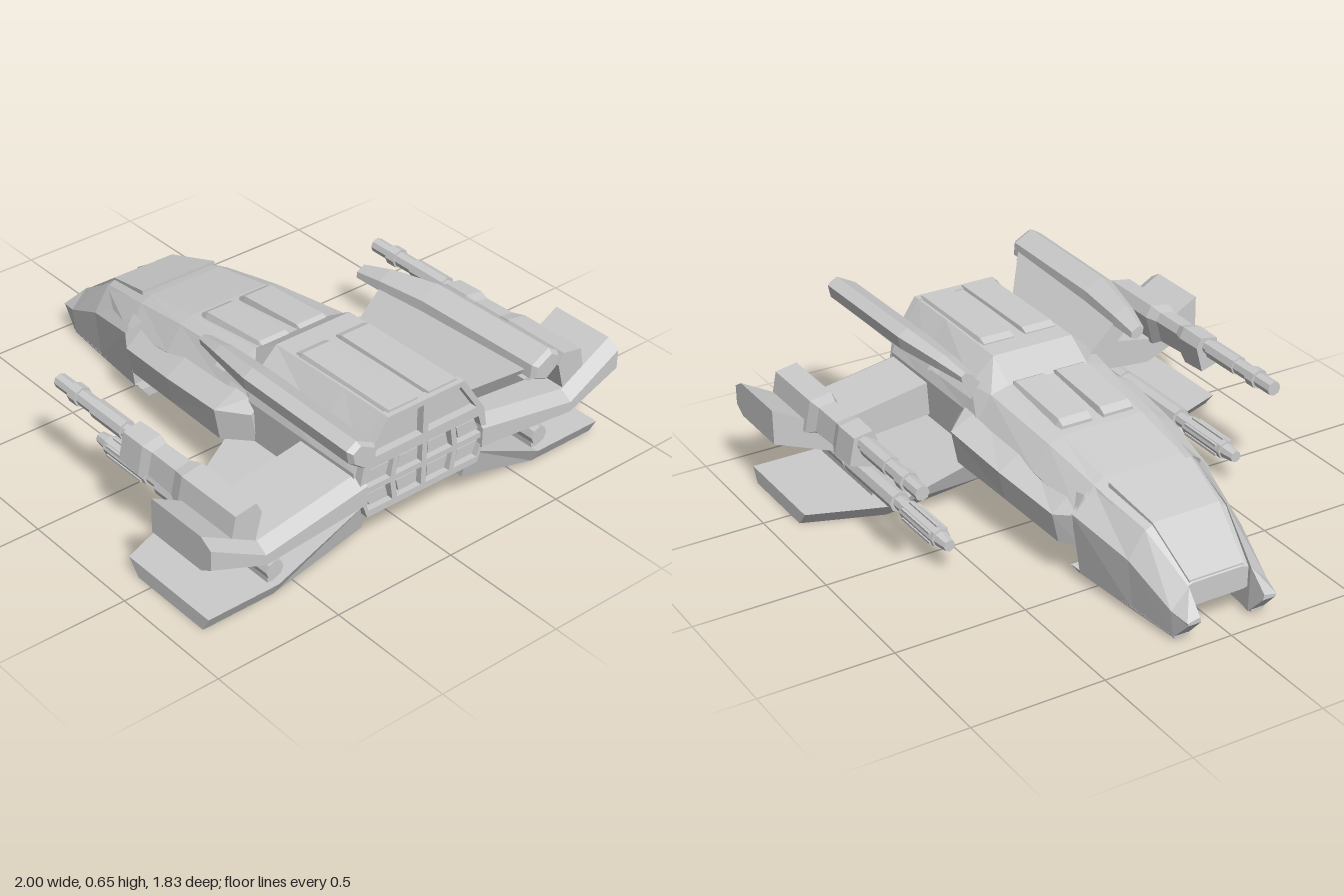
import * as THREE from 'three';

const material = new THREE.MeshStandardMaterial({ color: 0xcccccc, flatShading: true, side: THREE.DoubleSide });

// Skin between rings of [x, y, z] points with fan caps; winding is turned outward by signed volume.
function loft(rings) {
  const tris = [], n = rings[0].length;
  for (let i = 0; i < rings.length - 1; i++) {
    for (let j = 0; j < n; j++) {
      const a = rings[i][j], b = rings[i][(j + 1) % n], c = rings[i + 1][(j + 1) % n], d = rings[i + 1][j];
      tris.push([a, b, c], [a, c, d]);
    }
  }
  const last = rings[rings.length - 1];
  for (let j = 1; j < n - 1; j++) {
    tris.push([rings[0][0], rings[0][j + 1], rings[0][j]], [last[0], last[j], last[j + 1]]);
  }
  let volume = 0;
  for (const [a, b, c] of tris) {
    volume += a[0] * (b[1] * c[2] - b[2] * c[1]) - a[1] * (b[0] * c[2] - b[2] * c[0]) + a[2] * (b[0] * c[1] - b[1] * c[0]);
  }
  const ordered = volume < 0 ? tris.map(([a, b, c]) => [a, c, b]) : tris;
  const geo = new THREE.BufferGeometry();
  geo.setAttribute('position', new THREE.Float32BufferAttribute(ordered.flat(2), 3));
  geo.computeVertexNormals();
  return geo;
}

// Ring of [z, y] points at a given x, on side s
const ringX = (x, pts, s = 1) => pts.map(([z, y]) => [x, y, z * s]);
// Ring of [x, y] points at a given z
const ringZ = (z, pts) => pts.map(([x, y]) => [x, y, z]);

function add(group, name, geo) {
  const mesh = new THREE.Mesh(geo, material);
  mesh.name = name;
  group.add(mesh);
  return mesh;
}

// Round section lying along x
function barrel(group, name, x0, x1, r0, r1, y, z, sides = 8) {
  const geo = new THREE.CylinderGeometry(r1, r0, x1 - x0, sides);
  geo.rotateZ(-Math.PI / 2).translate((x0 + x1) / 2, y, z);
  add(group, name, geo);
}

function buildHull(g) {
  // Each station: x, then half-section [z, y] from the top edge to the belly
  const stations = [
    [-0.91, [0.10, 0.19], [0.13, 0.18], [0.14, 0.14], [0.14, 0.11], [0.11, 0.10]],
    [-0.72, [0.13, 0.33], [0.17, 0.31], [0.21, 0.21], [0.20, 0.13], [0.12, 0.10]],
    [-0.46, [0.16, 0.395], [0.20, 0.375], [0.27, 0.29], [0.26, 0.16], [0.14, 0.12]],
    [-0.20, [0.165, 0.44], [0.22, 0.42], [0.285, 0.33], [0.28, 0.20], [0.20, 0.18]],
    [0.16, [0.165, 0.48], [0.24, 0.46], [0.30, 0.36], [0.28, 0.21], [0.21, 0.19]],
    [0.27, [0.165, 0.55], [0.26, 0.46], [0.29, 0.37], [0.28, 0.20], [0.21, 0.08]],
    [0.62, [0.165, 0.555], [0.265, 0.43], [0.29, 0.37], [0.28, 0.20], [0.21, 0.07]],
    [0.82, [0.165, 0.555], [0.265, 0.42], [0.29, 0.37], [0.28, 0.21], [0.25, 0.19]],
  ];
  add(g, 'hull', loft(stations.map(([x, ...half]) =>
    ringX(x, [...half, ...half.slice().reverse().map(([z, y]) => [-z, y])]))));

  // Canopy panel follows the nose curve
  const canopy = [[-0.905, 0.11, 0.20], [-0.72, 0.135, 0.337], [-0.5, 0.168, 0.397]];
  add(g, 'canopyPanel', loft(canopy.map(([x, w, y]) => ringX(x, [[-w, y], [w, y], [w, y - 0.04], [-w, y - 0.04]]))));

  for (const s of [1, -1]) {
    // Raised dorsal plates with bevelled sides
    const plate = (x, y, w) => ringX(x, [[0.015, y - 0.05], [0.025, y], [w - 0.02, y], [w, y - 0.05]], s);
    add(g, 'forwardDorsalPlate', loft([plate(-0.17, 0.455, 0.165), plate(-0.14, 0.472, 0.165), plate(0.15, 0.494, 0.165), plate(0.17, 0.485, 0.165)]));
    add(g, 'rearDorsalPlate', loft([plate(0.36, 0.556, 0.17), plate(0.39, 0.568, 0.17), plate(0.83, 0.568, 0.17)]));
  }
}

function buildTail(g) {
  // Rear frame with two rows of four openings and two upper windows
  const w = y => 0.29 - 0.25 * Math.abs(y - 0.3);
  const poly = pts => pts.map(([x, y]) => new THREE.Vector2(x, y));
  const outline = [[0.25, 0.19], [0.29, 0.3], [0.27, 0.41], [0.17, 0.56]];
  const frame = new THREE.Shape(poly([...outline, ...outline.slice().reverse().map(([z, y]) => [-z, y])]));
  const cell = (i, y0, y1, m) => [[i, y0], [i + 1, y0], [i + 1, y1], [i, y1]].map(([k, y], n) =>
    [(k - 2) / 2 * (w(y) - 0.01) + (n === 0 || n === 3 ? m : -m), y === y0 ? y0 + m : y1 - m]);
  const panes = [];
  for (const [y0, y1] of [[0.205, 0.3], [0.3, 0.395]]) {
    for (let i = 0; i < 4; i++) {
      frame.holes.push(new THREE.Path(poly(cell(i, y0, y1, 0.011))));
      panes.push(new THREE.Shape(poly(cell(i, y0, y1, 0.024))));
    }
  }
  for (const s of [1, -1]) {
    frame.holes.push(new THREE.Path(poly([[0.012, 0.425], [0.235, 0.425], [0.155, 0.54], [0.012, 0.54]].map(([z, y]) => [z * s, y]))));
  }
  const extrude = (shape, depth) =>
    new THREE.ExtrudeGeometry(shape, { depth, bevelEnabled: false }).rotateY(Math.PI / 2).translate(0.815, 0, 0);
  add(g, 'tailFrame', extrude(frame, 0.035));
  panes.forEach(p => add(g, 'exhaustPane', extrude(p, 0.025)));
}

function buildThrusters(g, s) {
  for (const [x, y, z, r] of [[0.37, 0.072, 0.115, 0.065], [-0.48, 0.108, 0.085, 0.05]]) {
    add(g, 'thrusterRing', new THREE.TorusGeometry(r, 0.015, 4, 8).rotateX(Math.PI / 2).translate(x, y, z * s));
    add(g, 'thrusterCore', new THREE.CylinderGeometry(r * 0.65, r * 0.4, 0.03, 8).translate(x, y, z * s));
    for (let k = 0; k < 4; k++) {
      add(g, 'thrusterVane', new THREE.BoxGeometry(r * 2, 0.014, 0.008).rotateY(k * Math.PI / 4).translate(x, y - 0.006, z * s));
    }
  }
}

function buildSide(s) {
  const g = new THREE.Group();
  g.name = s > 0 ? 'leftSide' : 'rightSide';

  // Nose prong running back into a skirt, with a foot beneath
  const prong = [
    [-1, [0.125, 0.095], [0.175, 0.095], [0.18, 0.105], [0.13, 0.115]],
    [-0.925, [0.12, 0.015], [0.185, 0.015], [0.195, 0.12], [0.125, 0.19]],
    [-0.72, [0.15, 0.02], [0.21, 0.02], [0.23, 0.22], [0.165, 0.32]],
    [-0.45, [0.18, 0.04], [0.25, 0.04], [0.285, 0.285], [0.2, 0.375]],
  ];
  add(g, 'noseProng', loft(prong.map(([x, ...p]) => ringX(x, p, s))));
  add(g, 'noseFoot', loft([
    ringX(-0.93, [[0.13, 0.01], [0.18, 0.01], [0.185, 0.02], [0.13, 0.02]], s),
    ringX(-0.4, [[0.16, 0.01], [0.225, 0.01], [0.255, 0.05], [0.15, 0.05]], s)]));

  // Side fairing
  const fairing = [[-0.46, 0.28, 0.15, 0.28], [-0.39, 0.325, 0.15, 0.265], [-0.1, 0.365, 0.19, 0.305], [0.2, 0.385, 0.205, 0.335], [0.3, 0.30, 0.21, 0.33]];
  add(g, 'sideFairing', loft(fairing.map(([x, z, y0, y1]) =>
    ringX(x, [[0.2, y0 + 0.01], [z - 0.025, y0], [z, y1], [0.24, y1 + 0.07]], s))));

  // Cranked main wing with chamfered trailing edge
  const wing = [[0.26, 0.36, 0.225], [0.69, 0.285, 0.185], [0.92, 0.41, 0.275]];
  add(g, 'mainWing', loft(wing.map(([z, t, b], i) => ringZ((z - (i === 2 ? 0.005 : 0)) * s,
    [[0.55, t], [0.81, t], [0.86, t - 0.03], [0.86, b + 0.03], [0.81, b], [0.55, b]]))));

  // Lower wing, drooping then level
  const lower = [[0.23, 0.16, 0.83, 0.11, 0.235], [0.595, 0.27, 0.81, 0, 0.058], [0.89, 0.38, 0.81, 0, 0.058]];
  add(g, 'lowerWing', loft(lower.map(([z, x0, x1, b, t]) =>
    ringZ(z * s, [[x0, t], [x1, t], [x1 - 0.03, b], [x0 + 0.05, b]]))));

  // Slanted upper fin and its long tip pod
  const d = 0.024;
  const fin = (x0, x1, z, y) => [[x0, y + d, (z - d) * s], [x1, y + d, (z - d) * s], [x1, y - d, (z + d) * s], [x0, y - d, (z + d) * s]];
  add(g, 'upperFin', loft([fin(0.24, 0.8, 0.25, 0.44), fin(0.24, 0.97, 0.385, 0.575)]));
  const section = [[0.06, 0.035], [0.02, 0.06], [-0.055, 0.02], [-0.06, -0.03], [-0.005, -0.055], [0.05, -0.015]];
  const pod = [[0.12, 0.45, 0.355, 0.57], [0.24, 0.72, 0.37, 0.582], [0.45, 1, 0.395, 0.592], [0.98, 1, 0.405, 0.592], [1, 0.8, 0.405, 0.592]];
  add(g, 'finPod', loft(pod.map(([x, k, z, y]) => ringX(x, section.map(([a, b]) => [z + a * k, y + b * k]), s))));
  add(g, 'finPodRail', loft([0.3, 0.96].map(x => ringX(x, [[0.34, 0.55], [0.36, 0.535], [0.42, 0.545], [0.4, 0.59]], s))));

  // Wing cannon: stepped barrel, faceted breech
  const zc = 0.73 * s;
  for (const [x0, x1, r] of [[-0.22, -0.13, 0.028], [-0.13, -0.085, 0.038], [-0.085, 0, 0.03], [0, 0.17, 0.036], [0.17, 0.21, 0.028]]) {
    barrel(g, 'cannonBarrel', x0, x1, r, r, 0.387, zc);
  }
  const breech = [[0.8, 0.3], [0.775, 0.42], [0.69, 0.435], [0.668, 0.39], [0.7, 0.27]];
  const shrink = k => breech.map(([z, y]) => [0.73 + (z - 0.73) * k, 0.385 + (y - 0.385) * k]);
  add(g, 'cannonBreech', loft([[0.2, 0.85], [0.31, 0.9], [0.35, 0.7], [0.48, 0.75], [0.53, 1], [0.81, 1]].map(([x, k]) => ringX(x, shrink(k), s))));

  // Lower cannon on a short pylon
  const zl = 0.605 * s;
  for (const [x0, x1, r0, r1] of [[-0.17, -0.11, 0.022, 0.03], [-0.11, 0.13, 0.037, 0.037], [0.13, 0.19, 0.027, 0.027], [0.19, 0.55, 0.04, 0.04], [0.55, 0.57, 0.03, 0.03], [0.57, 0.8, 0.038, 0.036]]) {
    barrel(g, 'lowerCannon', x0, x1, r0, r1, 0.118, zl);
  }
  for (let k = 0; k < 6; k++) {
    const a = k * Math.PI / 3;
    add(g, 'cannonRib', new THREE.BoxGeometry(0.2, 0.01, 0.01).translate(0.01, 0.118 + 0.037 * Math.cos(a), zl + 0.037 * Math.sin(a)));
  }
  add(g, 'cannonPylon', new THREE.BoxGeometry(0.4, 0.06, 0.03).translate(0.58, 0.075, zl));

  buildThrusters(g, s);
  return g;
}

export function createModel() {
  const model = new THREE.Group();
  model.name = 'spacecraft';
  buildHull(model);
  buildTail(model);
  for (const s of [1, -1]) model.add(buildSide(s));
  return model;
}
